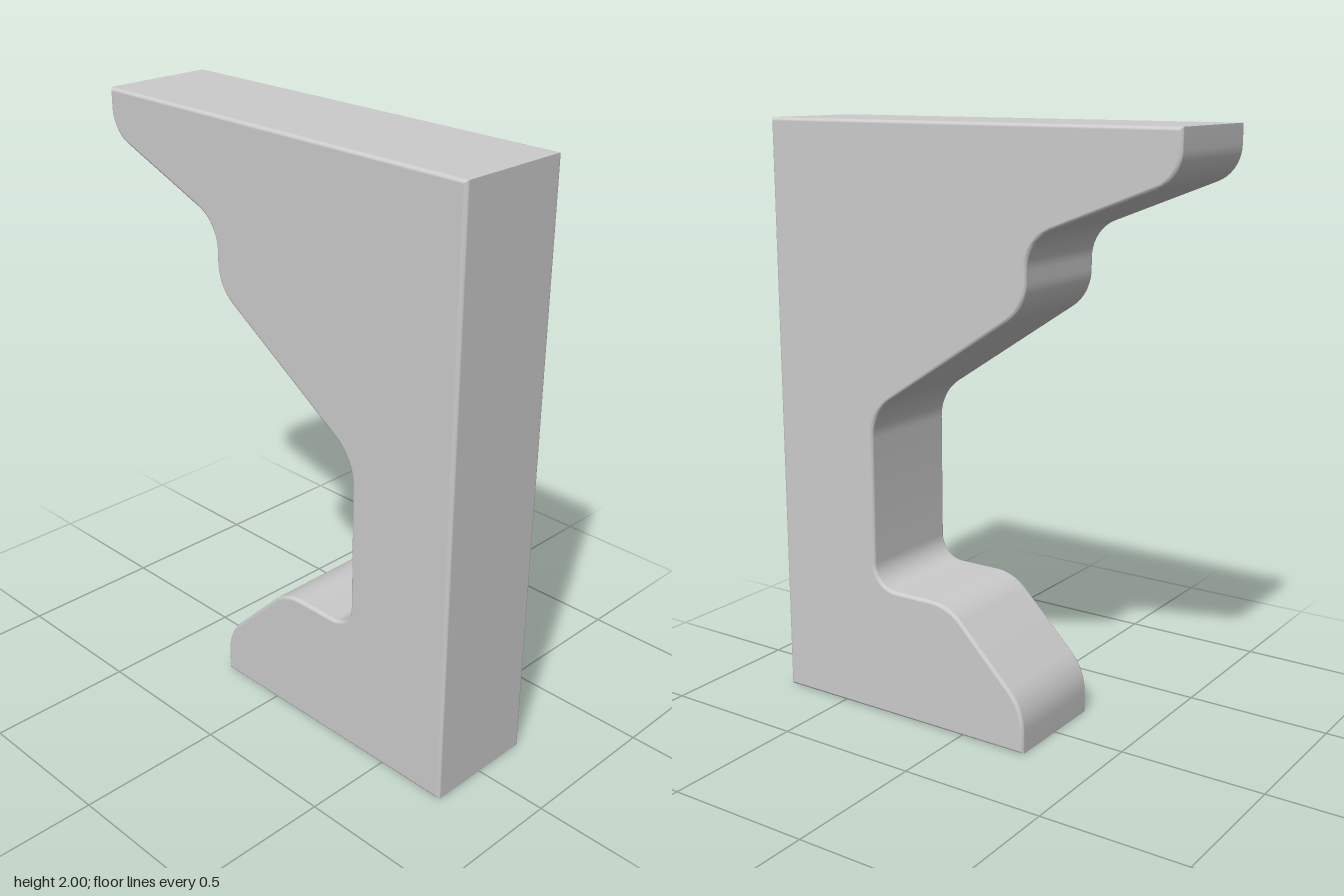
import * as THREE from 'three';
import { toCreasedNormals } from 'three/addons/utils/BufferGeometryUtils.js';

const HALF = 0.2;    // half the width across x
const BEVEL = 0.012; // rounded edge around both side faces

// Closed outline; each corner is [x, y, t], t being the length cut off for its arc
function roundedOutline(corners) {
  const shape = new THREE.Shape();
  const n = corners.length;
  const at = (i) => new THREE.Vector2(...corners[(i + n) % n].slice(0, 2));
  for (let i = 0; i < n; i++) {
    const p = at(i), t = corners[i][2] || 0;
    const toPrev = at(i - 1).sub(p).normalize();
    const toNext = at(i + 1).sub(p).normalize();
    const a = p.clone().addScaledVector(toPrev, t);
    if (i === 0) shape.moveTo(a.x, a.y);
    else shape.lineTo(a.x, a.y);
    if (!t) continue;
    // Bezier that follows a circular fillet
    const turn = Math.PI - Math.acos(toPrev.dot(toNext));
    const h = (4 / 3) * Math.tan(turn / 4) * t / Math.tan(turn / 2);
    const b = p.clone().addScaledVector(toNext, t);
    const c1 = a.clone().addScaledVector(toPrev, -h);
    const c2 = b.clone().addScaledVector(toNext, -h);
    shape.bezierCurveTo(c1.x, c1.y, c2.x, c2.y, b.x, b.y);
  }
  shape.closePath();
  return shape;
}

export function createModel() {
  const group = new THREE.Group();
  group.name = 'bracket';

  // Side profile: flat front, stepped and rounded back (x here points to the rear)
  const outline = roundedOutline([
    [-0.75, 0],
    [0.245, 0],
    [0.245, 0.155, 0.08],   // foot
    [-0.05, 0.45, 0.07],
    [-0.355, 0.45, 0.085],  // waist
    [-0.355, 1.057, 0.09],
    [0.245, 1.453, 0.08],   // middle step
    [0.245, 1.66, 0.09],
    [0.75, 1.857, 0.08],    // top overhang
    [0.75, 2],
    [-0.75, 2],
  ]);

  const depth = 2 * (HALF - BEVEL);
  let geometry = new THREE.ExtrudeGeometry(outline, {
    depth, curveSegments: 10, bevelEnabled: true, bevelSegments: 4,
    bevelThickness: BEVEL, bevelSize: BEVEL, bevelOffset: -BEVEL,
  });
  geometry.translate(0, 0, -depth / 2);
  geometry.rotateY(Math.PI / 2);
  geometry = toCreasedNormals(geometry, 0.5);

  // Keep the flat faces evenly shaded where they meet the rounded edge
  const pos = geometry.attributes.position, nor = geometry.attributes.normal;
  const v = new THREE.Vector3();
  for (let i = 0; i < pos.count; i++) {
    const x = pos.getX(i);
    v.fromBufferAttribute(nor, i);
    if (Math.abs(x) > HALF - 1e-4) v.set(Math.sign(x), 0, 0);
    else if (Math.abs(x) < HALF - BEVEL + 1e-4) v.setX(0).normalize();
    nor.setXYZ(i, v.x, v.y, v.z);
  }

  const body = new THREE.Mesh(geometry, new THREE.MeshStandardMaterial({ color: 0xcccccc }));
  body.name = 'bracketBody';
  group.add(body);
  return group;
}
